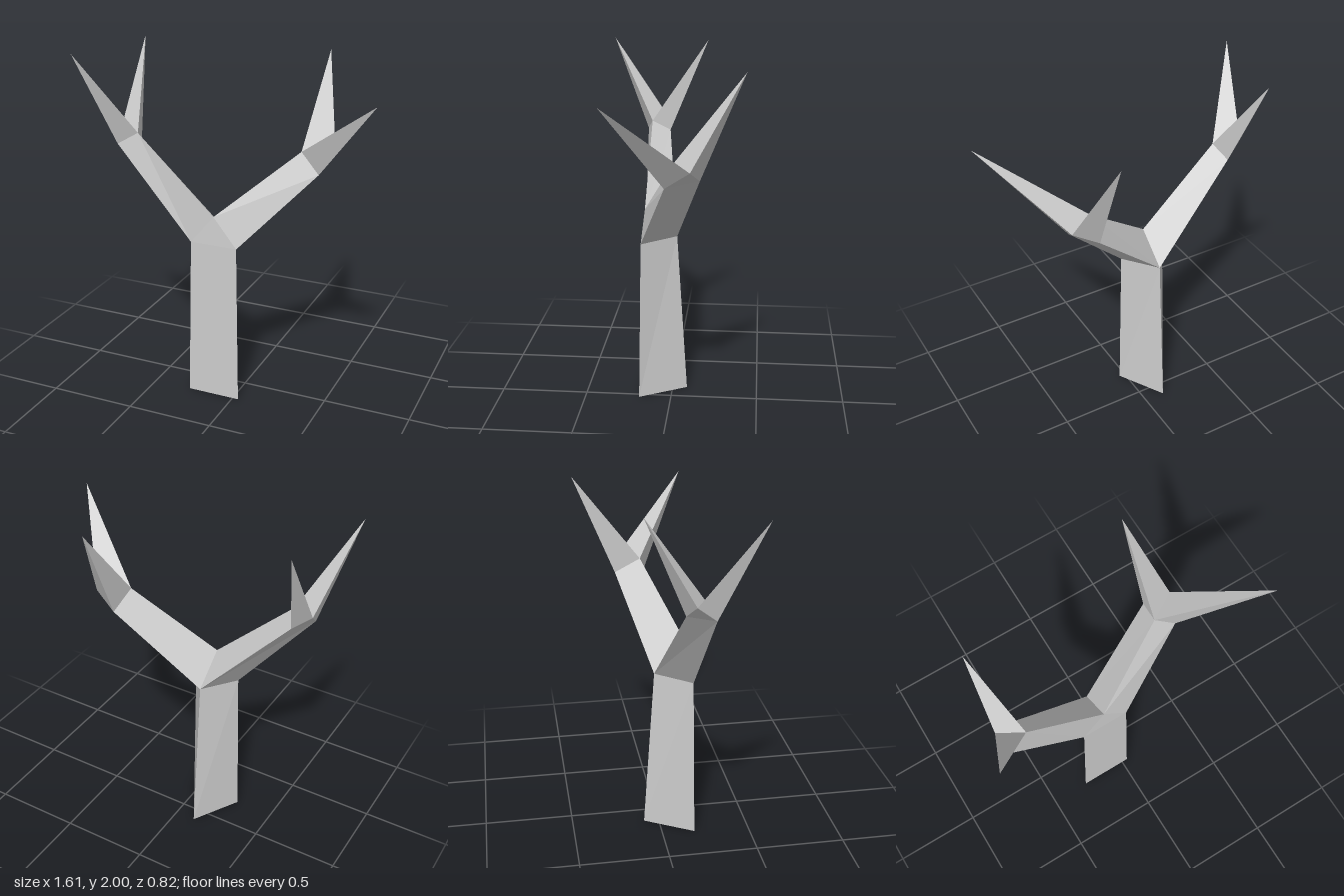
import * as THREE from 'three';

const material = new THREE.MeshStandardMaterial({ color: 0xcccccc, flatShading: true });

// Flat-shaded mesh from a list of triangles, each with three [x, y, z] corners
function facets(name, triangles) {
  const geometry = new THREE.BufferGeometry();
  geometry.setAttribute('position', new THREE.Float32BufferAttribute(triangles.flat(2), 3));
  geometry.computeVertexNormals();
  const mesh = new THREE.Mesh(geometry, material);
  mesh.name = name;
  return mesh;
}

// Three-sided limb between two rings that run counterclockwise seen from its end
function limb(name, low, high) {
  return facets(name, low.flatMap((a, i) => {
    const j = (i + 1) % 3;
    return [[a, low[j], high[j]], [a, high[j], high[i]]];
  }));
}

// Pointed twig from a ring to its tip
function twig(name, ring, tip) {
  return facets(name, ring.map((a, i) => [a, ring[(i + 1) % 3], tip]));
}

export function createModel() {
  const tree = new THREE.Group();
  tree.name = 'bareTree';

  // Trunk, closed underneath
  const base = [[-0.275, 0, 0.185], [0.035, 0, 0.185], [-0.12, 0, -0.085]];
  const right = [-0.255, 0.935, 0.17];
  const left = [0.02, 0.935, 0.17];
  const back = [-0.12, 0.945, -0.025];
  tree.add(limb('trunk', base, [right, left, back]));
  tree.add(facets('trunkBase', [[...base].reverse()]));

  // Fork of the trunk into two branches
  const crotch = [-0.12, 1.1, 0.16];
  tree.add(facets('trunkFork', [[right, left, crotch]]));

  // Left branch with its two twigs
  const lTop = [0.312, 1.47, -0.037], lLow = [0.425, 1.365, 0], lBack = [0.335, 1.387, -0.178];
  const lFork = [0.47, 1.46, -0.135];
  tree.add(limb('leftBranch', [crotch, left, back], [lTop, lLow, lBack]));
  tree.add(facets('leftBranchFork', [[lLow, lBack, lFork]]));
  tree.add(twig('leftFrontTwig', [lTop, lLow, lFork], [0.805, 1.845, 0.275]));
  tree.add(twig('leftBackTwig', [lTop, lFork, lBack], [0.335, 1.95, -0.41]));

  // Right branch with its two twigs
  const rTop = [-0.57, 1.525, 0.16], rLow = [-0.68, 1.46, 0.195], rBack = [-0.605, 1.465, 0.055];
  const rFork = [-0.705, 1.545, 0.09];
  tree.add(limb('rightBranch', [right, crotch, back], [rLow, rTop, rBack]));
  tree.add(facets('rightBranchFork', [[rBack, rLow, rFork]]));
  tree.add(twig('rightFrontTwig', [rLow, rTop, rFork], [-0.807, 1.99, 0.41]));
  tree.add(twig('rightBackTwig', [rFork, rTop, rBack], [-0.68, 1.995, -0.165]));

  return tree;
}
